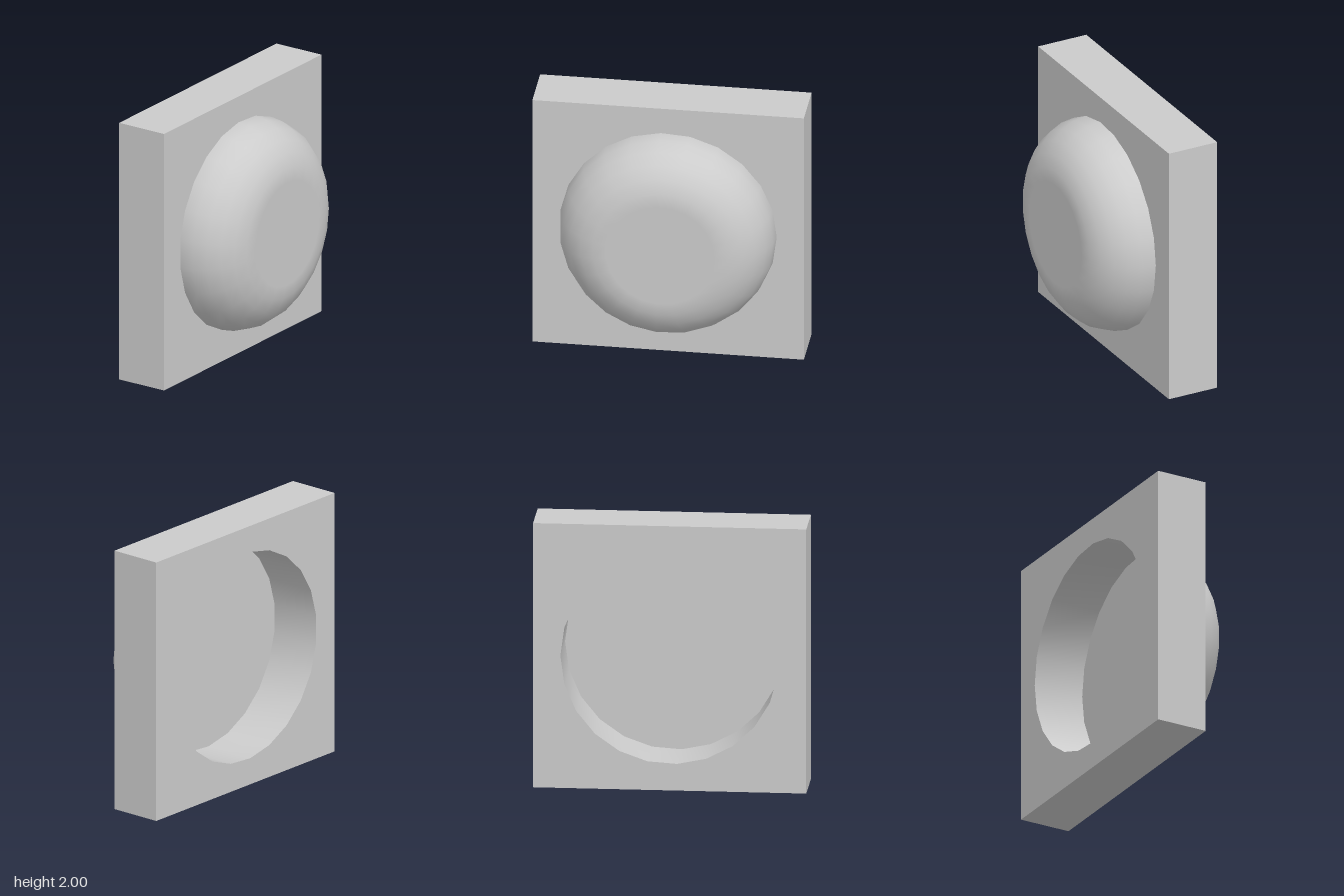
import * as THREE from 'three';
import { toCreasedNormals } from 'three/addons/utils/BufferGeometryUtils.js';

const SIDES = 23;      // facets around the circle
const RADIUS = 0.8;    // hole and dome base
const ROUND = 0.4;     // radius of the dome's rounded edge
const FLAT = RADIUS - ROUND;
const DEPTH = 0.4;     // slab thickness

export function createModel() {
  const model = new THREE.Group();
  const material = new THREE.MeshStandardMaterial({ color: 0xcccccc });

  const add = (name, geometry, z = 0) => {
    const mesh = new THREE.Mesh(geometry, material);
    mesh.name = name;
    mesh.position.set(0, 1, z);
    model.add(mesh);
    return mesh;
  };

  // Square slab with a round hole through it
  const square = new THREE.Shape([[-1, -1], [1, -1], [1, 1], [-1, 1]].map(([x, y]) => new THREE.Vector2(x, y)));
  const rim = Array.from({ length: SIDES }, (_, i) => {
    const a = -i / SIDES * Math.PI * 2;
    return new THREE.Vector2(RADIUS * Math.cos(a), RADIUS * Math.sin(a));
  });
  square.holes.push(new THREE.Path(rim));
  const slab = new THREE.ExtrudeGeometry(square, { depth: DEPTH, bevelEnabled: false });
  add('slab', toCreasedNormals(slab, 0.5), -DEPTH);

  // Rounded edge of the dome: a quarter circle turned about the z axis
  const profile = Array.from({ length: 7 }, (_, i) => {
    const a = i / 6 * Math.PI / 2;
    return new THREE.Vector2(FLAT + ROUND * Math.cos(a), ROUND * Math.sin(a));
  });
  const edge = new THREE.LatheGeometry(profile, SIDES, Math.PI / 2).rotateX(Math.PI / 2);
  // True round normals, so the edge runs smoothly into the flat face
  const p = edge.attributes.position, n = edge.attributes.normal, v = new THREE.Vector3();
  for (let i = 0; i < p.count; i++) {
    v.fromBufferAttribute(p, i);
    const k = 1 - FLAT / Math.hypot(v.x, v.y);
    v.set(v.x * k, v.y * k, v.z).normalize();
    n.setXYZ(i, v.x, v.y, v.z);
  }
  add('domeEdge', edge);

  // Flat front of the dome
  add('domeFace', new THREE.CircleGeometry(FLAT, SIDES), ROUND);

  // Floor of the recess, facing the back
  add('recessFloor', new THREE.CircleGeometry(RADIUS, SIDES).rotateX(Math.PI));

  return model;
}
